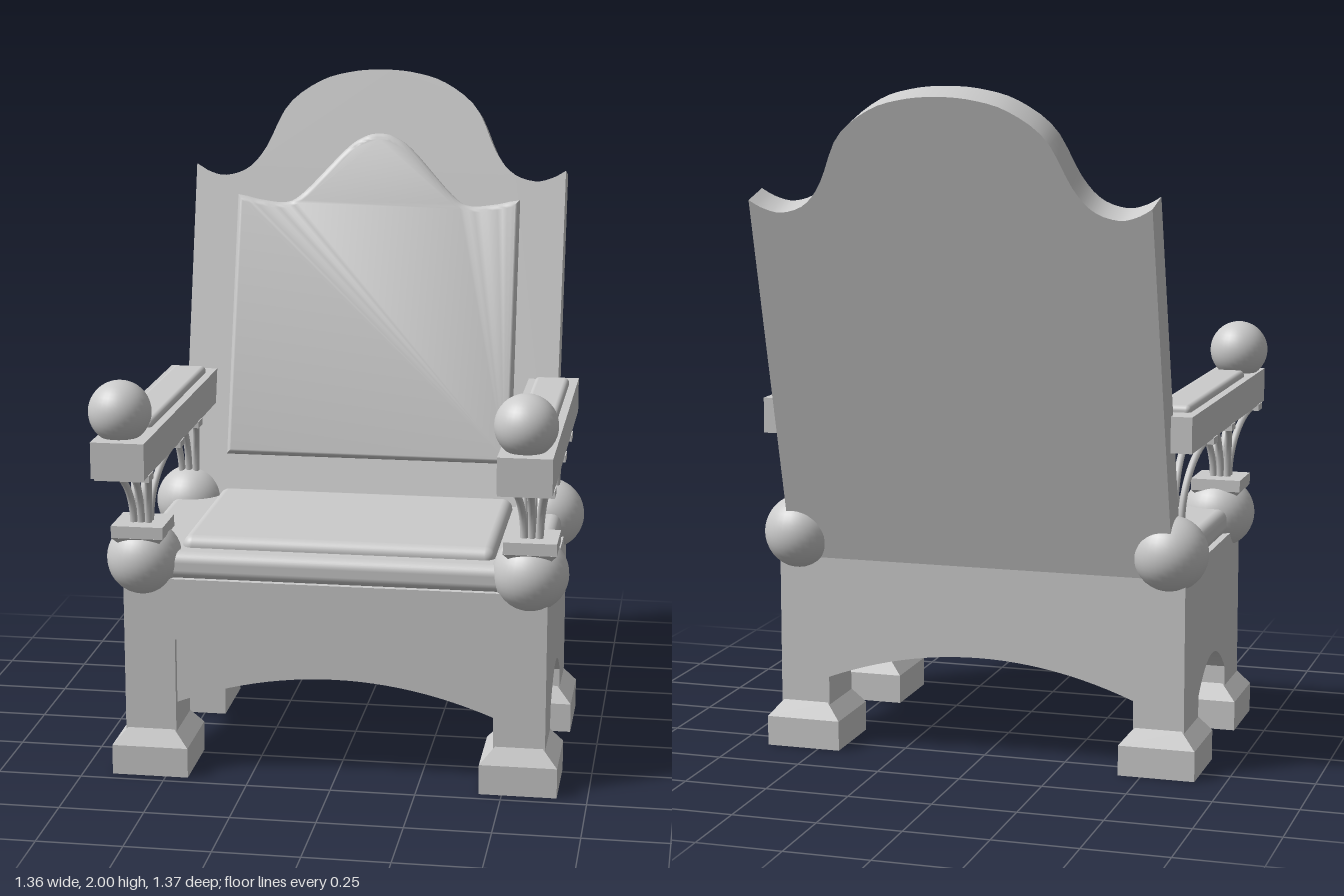
import * as THREE from 'three';
import { RoundedBoxGeometry } from 'three/addons/geometries/RoundedBoxGeometry.js';
import { toCreasedNormals } from 'three/addons/utils/BufferGeometryUtils.js';

const material = new THREE.MeshStandardMaterial({ color: 0xcccccc });
const V = (x, y, z) => new THREE.Vector3(x, y, z);

function add(parent, name, geometry, x = 0, y = 0, z = 0) {
  const mesh = new THREE.Mesh(geometry, material);
  mesh.name = name;
  mesh.position.set(x, y, z);
  parent.add(mesh);
  return mesh;
}

// Box given by its lower and upper corners
function block(parent, name, [x0, y0, z0], [x1, y1, z1], radius = 0) {
  const size = [x1 - x0, y1 - y0, z1 - z0];
  const geometry = radius ? new RoundedBoxGeometry(...size, 4, radius) : new THREE.BoxGeometry(...size);
  return add(parent, name, geometry, (x0 + x1) / 2, (y0 + y1) / 2, (z0 + z1) / 2);
}

// Square block with four sloping sides
function taperedBlock(w0, d0, w1, d1, h) {
  const geometry = new THREE.BoxGeometry(w0, h, d0);
  const p = geometry.attributes.position;
  for (let i = 0; i < p.count; i++) {
    if (p.getY(i) > 0) p.setXYZ(i, p.getX(i) * w1 / w0, h / 2, p.getZ(i) * d1 / d0);
  }
  const flat = geometry.toNonIndexed();
  flat.computeVertexNormals();
  return flat;
}

// Apron panel with an arched lower edge, centred on its depth
function archPanel(half, yEnd, yMid, yTop, depth) {
  const s = new THREE.Shape();
  s.moveTo(-half, yEnd);
  s.quadraticCurveTo(0, 2 * yMid - yEnd, half, yEnd);
  s.lineTo(half, yTop);
  s.lineTo(-half, yTop);
  s.closePath();
  const geometry = new THREE.ExtrudeGeometry(s, { depth, bevelEnabled: false, curveSegments: 24 });
  return toCreasedNormals(geometry.translate(0, 0, -depth / 2), 0.5);
}

// Mirrored upright outline: half of the top edge from the side to the centre
function crestShape(bottom, half, inset = 0) {
  const pts = half.map(([x, y]) => new THREE.Vector2(x, y));
  const mirrored = half.slice(0, -1).reverse().map(([x, y]) => new THREE.Vector2(-x, y));
  const edge = new THREE.SplineCurve([...pts, ...mirrored]).getPoints(56);
  const x = -half[0][0];
  const s = new THREE.Shape();
  s.moveTo(x - inset, bottom);
  edge.reverse().forEach(p => s.lineTo(p.x, p.y));
  s.lineTo(-x + inset, bottom);
  s.closePath();
  return s;
}

function buildBase(chair) {
  const base = new THREE.Group();
  base.name = 'base';
  chair.add(base);

  // Corner legs on stepped feet
  for (const sx of [-1, 1]) {
    for (const z of [0.345, -0.215]) {
      const leg = new THREE.Group();
      leg.name = 'leg';
      leg.position.set(sx * 0.547, 0, z);
      base.add(leg);
      block(leg, 'legPost', [-0.076, 0.13, -0.095], [0.076, 0.605, 0.095]);
      block(leg, 'foot', [-0.114, 0, -0.12], [0.114, 0.09, 0.12]);
      add(leg, 'footSlope', taperedBlock(0.228, 0.24, 0.14, 0.19, 0.05), 0, 0.115, 0);
    }
    // Side apron
    const side = add(base, 'sideApron', archPanel(0.185, 0.195, 0.283, 0.605, 0.12), sx * 0.563, 0, 0.065);
    side.rotation.y = Math.PI / 2;
  }

  // Front rail with the set-back arched panel below, plain arched back
  block(base, 'frontRail', [-0.471, 0.42, 0.33], [0.471, 0.605, 0.44]);
  add(base, 'frontApron', archPanel(0.471, 0.22, 0.313, 0.42, 0.09), 0, 0, 0.375);
  add(base, 'backApron', archPanel(0.471, 0.22, 0.313, 0.605, 0.1), 0, 0, -0.26);

  // Seat board and cushion
  block(base, 'seatBoard', [-0.615, 0.6, -0.3], [0.615, 0.682, 0.435], 0.03);
  block(base, 'seatCushion', [-0.462, 0.64, -0.22], [0.462, 0.715, 0.37], 0.03);
}

function buildBack(chair) {
  const back = new THREE.Group();
  back.name = 'backrest';
  back.position.set(0, 0.6, -0.205);
  back.rotation.x = -Math.PI / 12;
  chair.add(back);
  const local = ([x, y]) => [x, (y - 0.6) / Math.cos(Math.PI / 12)];

  // Crested back board
  const crest = [[-0.587, 1.7], [-0.545, 1.677], [-0.49, 1.666], [-0.42, 1.69], [-0.365, 1.755],
    [-0.3, 1.885], [-0.2, 1.96], [-0.1, 1.99], [0, 1.998]].map(local);
  const board = new THREE.ExtrudeGeometry(crestShape(0, crest), { depth: 0.105, bevelEnabled: false });
  add(back, 'backBoard', toCreasedNormals(board, 0.5), 0, 0, -0.105);

  // Padded panel with a pointed top and soft rim
  const b = 0.02;
  const padTop = [[-0.43, 1.585], [-0.37, 1.572], [-0.285, 1.567], [-0.22, 1.605],
    [-0.095, 1.735], [-0.04, 1.773], [0, 1.781]].map(local);
  const pad = new THREE.ExtrudeGeometry(crestShape(local([0, 0.83])[1], padTop), {
    depth: 0.02, bevelEnabled: true, bevelSize: b, bevelThickness: b, bevelSegments: 5,
  });
  add(back, 'backCushion', toCreasedNormals(pad, 0.6), 0, 0, -0.01);
}

// Fan of thin curved stems between a ball and the arm
function buildStems(arm, z0, y0, z1) {
  for (const k of [-1, 0, 1]) {
    const dz = z1 - z0;
    const x0 = k * 0.022, x1 = k * 0.05;
    const curve = new THREE.CubicBezierCurve3(
      V(x0, y0, z0 + Math.sign(dz) * 0.012), V(x0, y0 + 0.12, z0 + dz * 0.08),
      V(x1, 0.952, z0 + dz * 0.4), V(x1, 0.952, z1));
    add(arm, 'stem', new THREE.TubeGeometry(curve, 20, 0.011, 8));
  }
  block(arm, 'stemPlate', [-0.08, 0.947, z1 - 0.028], [0.08, 0.967, z1 + 0.028]);
}

function buildArm(chair, sx) {
  const arm = new THREE.Group();
  arm.name = sx > 0 ? 'leftArm' : 'rightArm';
  arm.position.x = sx * 0.572;
  chair.add(arm);

  // Arm rail, pad and end ball
  block(arm, 'armRail', [-0.077, 0.965, -0.36], [0.077, 1.07, 0.685]);
  block(arm, 'armPad', [-0.053, 1.03, -0.28], [0.053, 1.09, 0.487], 0.015);
  add(arm, 'armBall', new THREE.SphereGeometry(0.09, 32, 20), sx > 0 ? -0.005 : -0.012, 1.14, 0.592);

  // Corner balls of the seat
  for (const z of [0.388, -0.268]) {
    add(arm, 'seatBall', new THREE.SphereGeometry(0.111, 32, 20), -sx * 0.003, 0.655, z);
  }

  // Collar over the front ball
  block(arm, 'collar', [-0.077, 0.732, 0.317], [0.077, 0.768, 0.472]);
  add(arm, 'collarSlope', taperedBlock(0.12, 0.12, 0.154, 0.155, 0.02), 0, 0.722, 0.395);

  // Stems: two fans in front, one behind
  buildStems(arm, 0.4, 0.76, 0.61);
  buildStems(arm, 0.4, 0.76, 0.2);
  buildStems(arm, -0.255, 0.74, -0.055);
}

export function createModel() {
  const chair = new THREE.Group();
  chair.name = 'armchair';
  buildBase(chair);
  buildBack(chair);
  for (const sx of [-1, 1]) buildArm(chair, sx);
  return chair;
}
